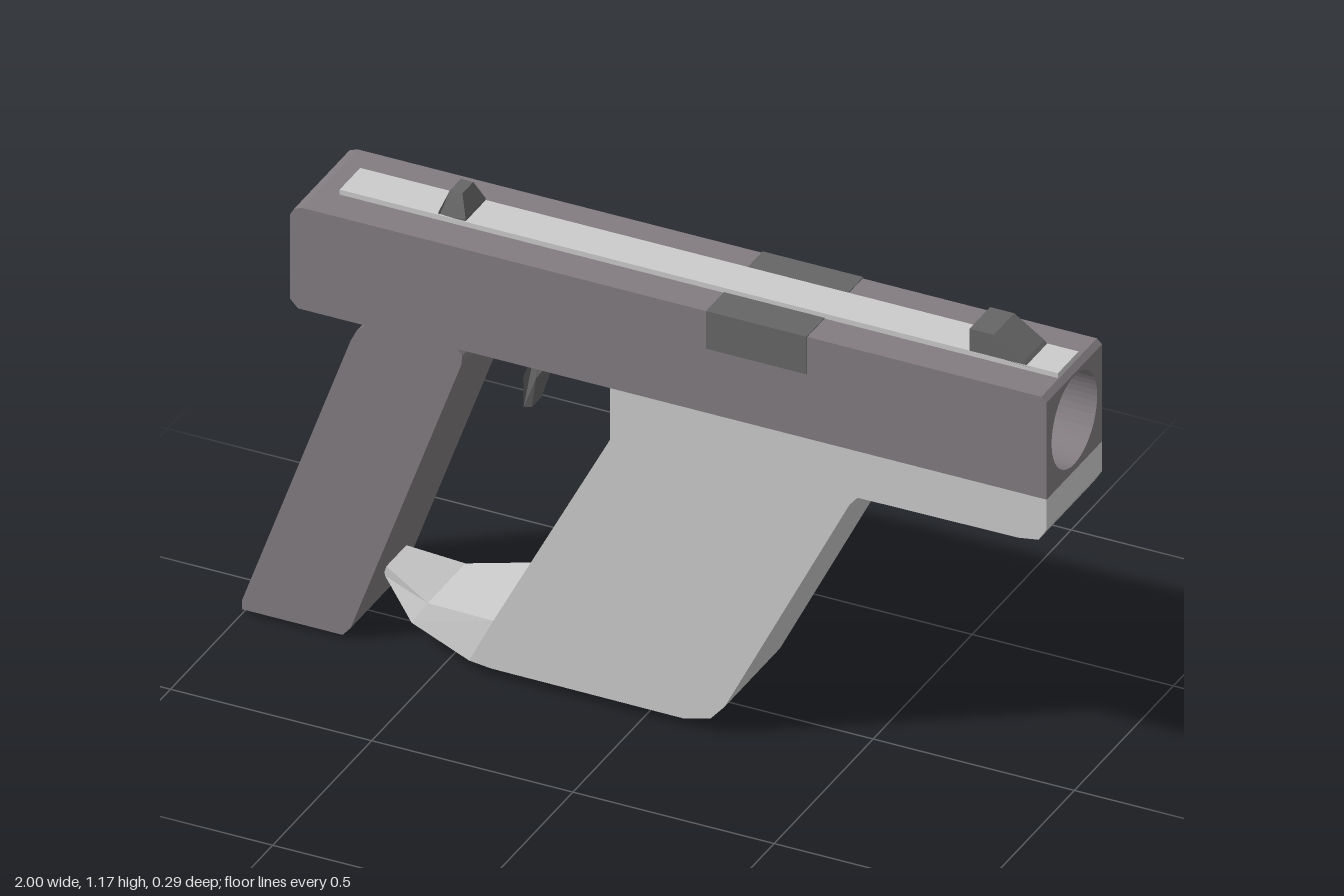
import * as THREE from 'three';

const mat = (color) => new THREE.MeshStandardMaterial({ color, flatShading: true });
const slideMat = mat(0x827c80);
const frameMat = mat(0xd9d8d6);
const darkMat = mat(0x666666);

const outline = (pts) => new THREE.Shape(pts.map(([x, y]) => new THREE.Vector2(x, y)));

// Side profile in x/y, extruded across z from z0 to z1
function slab(pts, z0, z1) {
  const g = new THREE.ExtrudeGeometry(outline(pts), { depth: z1 - z0, bevelEnabled: false });
  return g.translate(0, 0, z0);
}

// Scale z by a rule depending on position
function taper(g, rule) {
  const p = g.attributes.position;
  for (let i = 0; i < p.count; i++) p.setZ(i, p.getZ(i) * rule(p.getX(i), p.getY(i)));
  g.computeVertexNormals();
  return g;
}

export function createModel() {
  const model = new THREE.Group();
  const add = (parent, name, geometry, material) => {
    const m = new THREE.Mesh(geometry, material);
    m.name = name;
    parent.add(m);
    return m;
  };

  const W = 0.14, TOP = 1.1, BOTTOM = 0.835, BORE_START = 0.5;

  // Slide: solid rear with chamfered back, hollow front around the bore
  const slide = new THREE.Group();
  slide.name = 'slide';
  model.add(slide);
  add(slide, 'slideRear', slab([
    [-0.86, BOTTOM], [BORE_START, BOTTOM], [BORE_START, TOP], [-0.85, TOP],
    [-0.87, 1.092], [-0.88, 1.075], [-0.88, 0.855],
  ], -W, W), slideMat);

  const muzzle = (x0, x1, drop) => {
    const s = outline([[-W, BOTTOM], [W, BOTTOM], [W, TOP], [-W, TOP]]);
    s.holes.push(new THREE.Path().absarc(0, 0.967, 0.115, 0, Math.PI * 2, true));
    const g = new THREE.ExtrudeGeometry(s, { depth: x1 - x0, bevelEnabled: false, curveSegments: 24 });
    g.rotateY(Math.PI / 2).translate(x0, 0, 0);
    const p = g.attributes.position;
    for (let i = 0; i < p.count; i++) {
      if (p.getX(i) > x1 - 1e-4 && p.getY(i) > TOP - 1e-4) p.setY(i, TOP - drop);
    }
    g.computeVertexNormals();
    return g;
  };
  add(slide, 'slideFront', muzzle(BORE_START, 0.987, 0), slideMat);
  add(slide, 'muzzleEnd', muzzle(0.987, 1, 0.012), slideMat);

  // Ejection panel wrapping over the slide
  add(model, 'ejectionPanel',
    new THREE.BoxGeometry(0.25, 0.098, 0.286).translate(0.28, 1.053, 0), darkMat);

  // Rail strip along the top
  add(model, 'topRail', slab([[-0.8, 1.09], [0.985, 1.09], [0.985, 1.113], [-0.8, 1.113]], -0.052, 0.052), frameMat);

  // Sights
  add(model, 'frontSight', slab([
    [0.765, 1.105], [0.915, 1.105], [0.9, 1.12], [0.825, 1.17], [0.765, 1.17],
  ], -0.052, 0.052), darkMat);
  add(model, 'rearSight', taper(slab([
    [-0.555, 1.105], [-0.488, 1.105], [-0.488, 1.12], [-0.507, 1.168], [-0.538, 1.168], [-0.555, 1.12],
  ], -0.05, 0.05), (x, y) => (y > 1.15 ? 0.55 : 1)), darkMat);

  // Pale frame with the slanted forward block
  add(model, 'frame', slab([
    [-0.085, BOTTOM], [-0.085, 0.7], [-0.375, 0.15], [-0.435, 0.03], [-0.38, 0.024],
    [0.1, 0.022], [0.165, 0.04], [0.2, 0.08], [0.51, 0.69], [0.53, 0.714],
    [0.93, 0.717], [0.98, 0.725], [1, 0.757], [1, BOTTOM],
  ], -W, W), frameMat);

  // Tapering spur reaching back from the frame, lofted through cross-sections
  const sections = [ // top x, top y, bottom x, bottom y, half width
    [-0.375, 0.15, -0.435, 0.03, W],
    [-0.56, 0.122, -0.6, 0.06, 0.095],
    [-0.7, 0.165, -0.69, 0.13, 0.045],
  ];
  const verts = [], index = [];
  for (const [tx, ty, bx, by, w] of sections) {
    verts.push(tx, ty, w, tx, ty, -w, bx, by, -w, bx, by, w);
  }
  for (let s = 0; s < sections.length - 1; s++) {
    for (let k = 0; k < 4; k++) {
      const a = s * 4 + k, b = s * 4 + (k + 1) % 4;
      index.push(a, b, a + 4, b, b + 4, a + 4);
    }
  }
  const e = (sections.length - 1) * 4;
  index.push(e, e + 1, e + 2, e, e + 2, e + 3);
  const spur = new THREE.BufferGeometry();
  spur.setAttribute('position', new THREE.Float32BufferAttribute(verts, 3));
  spur.setIndex(index);
  spur.computeVertexNormals();
  const spurMat = frameMat.clone();
  spurMat.side = THREE.DoubleSide;
  add(model, 'rearSpur', spur, spurMat);

  // Small plate under the frame
  add(model, 'basePlate', slab([[-0.175, 0], [0.08, 0], [0.105, 0.03], [-0.15, 0.03]], -0.072, 0.072), frameMat);

  // Slanted rear grip
  add(model, 'grip', slab([
    [-1, 0.012], [-0.75, 0.012], [-0.73, 0.035], [-0.455, 0.795], [-0.453, 0.82],
    [-0.47, 0.84], [-0.69, 0.84], [-0.715, 0.815], [-0.73, 0.785], [-1, 0.035],
  ], -0.128, W - 0.001), slideMat);

  // Curved trigger, narrower at the tip
  add(model, 'trigger', taper(slab([
    [-0.313, 0.84], [-0.345, 0.745], [-0.356, 0.65], [-0.336, 0.655], [-0.313, 0.75], [-0.252, 0.84],
  ], -0.05, 0.05), (x, y) => (y < 0.7 ? 0.5 : 1)), darkMat);

  return model;
}
